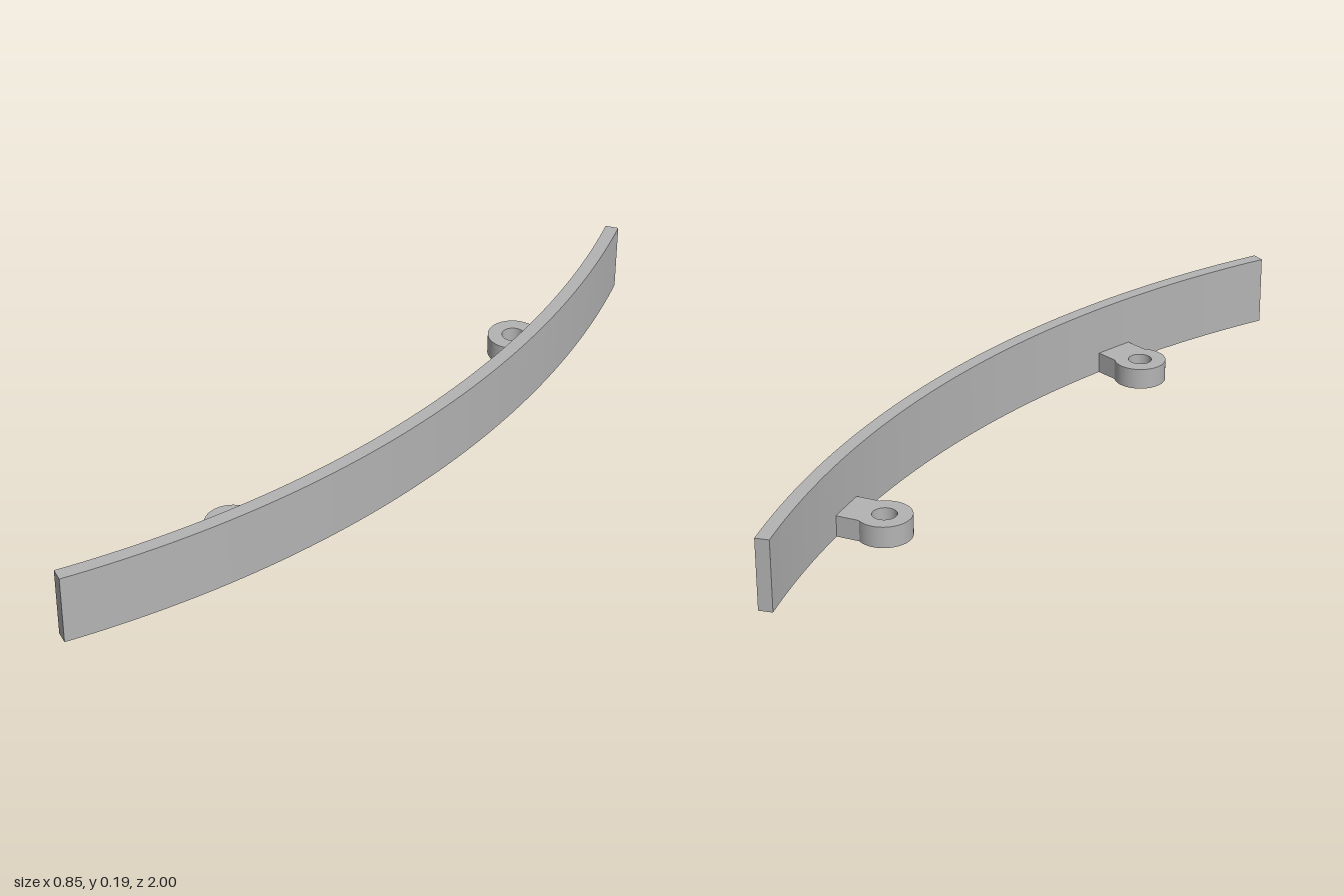
import * as THREE from 'three';

export function createModel() {
  const model = new THREE.Group();
  model.name = 'curvedRail';
  const grey = new THREE.MeshStandardMaterial({ color: 0xb4b4b4 });
  grey.name = 'plain grey';

  // The wall is a 45 degree arc; its centre of curvature lies at (cx, cz)
  const outer = 2.828, inner = 2.791, sweep = Math.PI / 4;
  const cx = -2.401, cz = -1;

  // Extrudes a plan outline upwards from y = 0 (shape y becomes -z)
  const addPart = (name, shape, height, curveSegments) => {
    const geometry = new THREE.ExtrudeGeometry(shape, { depth: height, bevelEnabled: false, curveSegments });
    geometry.rotateX(-Math.PI / 2);
    const mesh = new THREE.Mesh(geometry, grey);
    mesh.name = name;
    model.add(mesh);
    return mesh;
  };

  // Curved wall
  const wall = new THREE.Shape();
  wall.absarc(0, 0, outer, 0, -sweep, true);
  wall.absarc(0, 0, inner, -sweep, 0, false);
  wall.closePath();
  addPart('curvedWall', wall, 0.193, 32).position.set(cx, 0, cz);

  // Mounting lugs: a pierced round eye on a short arm that runs into the wall
  const eye = 0.071, half = 0.057, reach = 0.118;
  const neck = Math.asin(half / eye);
  const lug = new THREE.Shape();
  lug.moveTo(reach, -half);
  lug.lineTo(reach, half);
  lug.absarc(0, 0, eye, neck, Math.PI * 2 - neck, false);
  lug.closePath();
  const hole = new THREE.Path();
  hole.absarc(0, 0, 0.032, 0, Math.PI * 2, true);
  lug.holes.push(hole);

  [['backLug', 9.3], ['frontLug', 33.8]].forEach(([name, degrees]) => {
    const angle = THREE.MathUtils.degToRad(degrees);
    const mesh = addPart(name, lug, 0.058, 32);
    mesh.rotation.y = -angle;
    mesh.position.set(cx + 2.685 * Math.cos(angle), 0, cz + 2.685 * Math.sin(angle));
  });

  return model;
}
